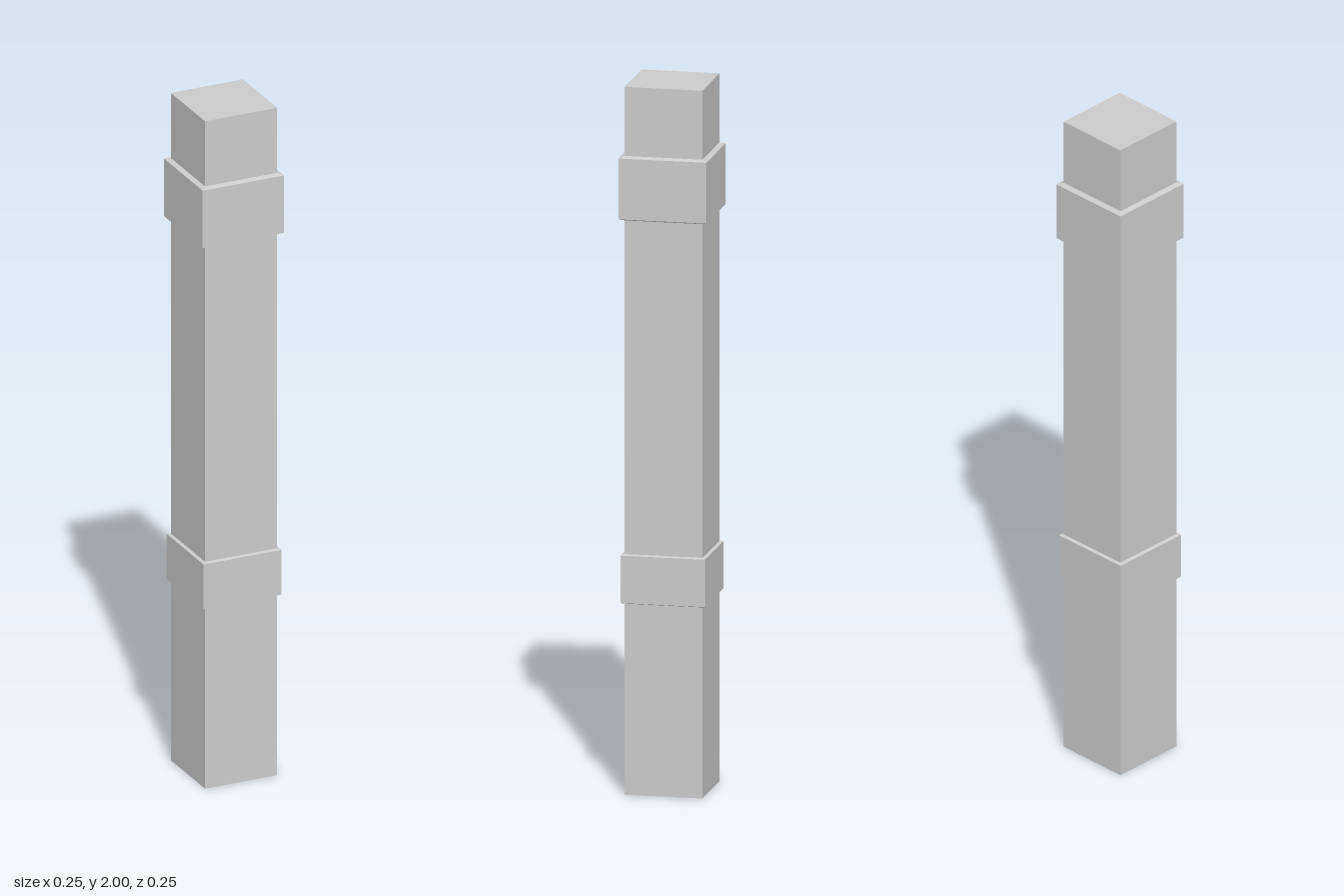
import * as THREE from 'three';

const material = new THREE.MeshStandardMaterial({ color: 0xcccccc, flatShading: true });
const POST = 0.11; // half width of the post

// Square collar round the post, its ledges sloping slightly into the post
function collar(name, halfWidth, bottom, top, slope) {
  const profile = [
    [POST, bottom],
    [halfWidth, bottom + slope],
    [halfWidth, top - slope],
    [POST, top],
  ].map(([r, y]) => new THREE.Vector2(r * Math.SQRT2, y));
  const mesh = new THREE.Mesh(new THREE.LatheGeometry(profile, 4, Math.PI / 4), material);
  mesh.name = name;
  return mesh;
}

export function createModel() {
  const group = new THREE.Group();
  group.name = 'squarePost';

  // Main shaft
  const post = new THREE.Mesh(new THREE.BoxGeometry(POST * 2, 2, POST * 2), material);
  post.name = 'post';
  post.position.y = 1;
  group.add(post);

  // Raised bands
  group.add(collar('upperBand', 0.124, 1.623, 1.805, 0.005));
  group.add(collar('lowerBand', 0.119, 0.54, 0.68, 0.003));
  return group;
}
